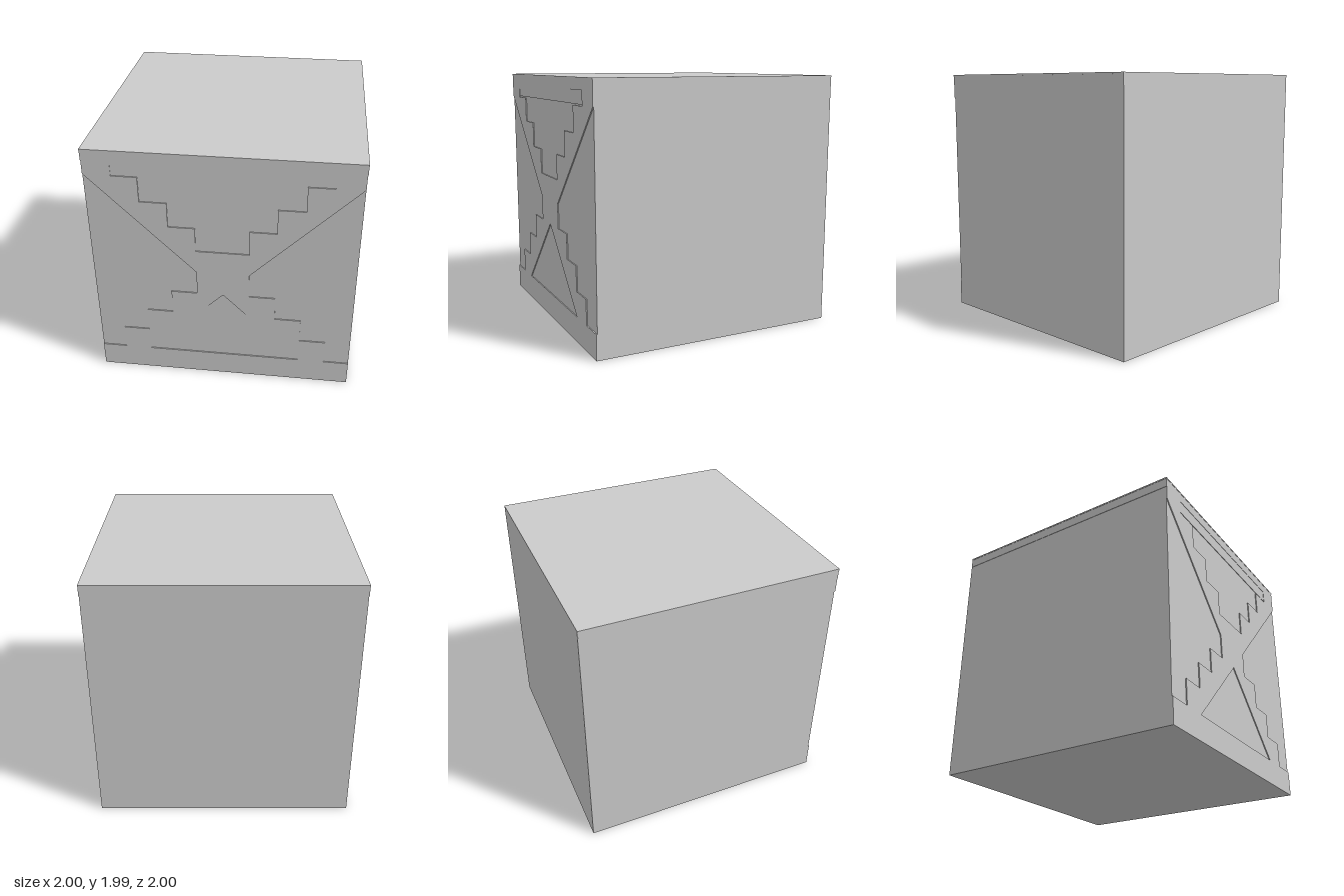
import * as THREE from 'three';

const light = new THREE.MeshStandardMaterial({ color: 0xcccccc });
const dark = new THREE.MeshStandardMaterial({ color: 0xbdbdbd });

export function createModel() {
  const model = new THREE.Group();

  const add = (name, geometry, material, x = 0, y = 0, z = 0) => {
    const mesh = new THREE.Mesh(geometry, material);
    mesh.name = name;
    mesh.position.set(x, y, z);
    model.add(mesh);
  };
  const points = (list) => list.map(([x, y]) => new THREE.Vector2(x, y));
  // Closed outline from its right half, listed bottom to top
  const mirrored = (half) =>
    points([...half, ...half.map(([x, y]) => [-x, y]).reverse()]);

  // Main block
  add('body', new THREE.BoxGeometry(1.99, 1.98, 1.99), light, 0, 0.99, -0.005);

  // Raised cross: stepped lower arms, straight undersides on the upper arms
  const lower = [[0.995, 0], [0.995, 0.2]];
  for (let i = 0; i < 4; i++) {
    const x = 0.8 - i * 0.2, y = 0.2 + i * 0.2;
    lower.push([x, y]);
    if (i < 3) lower.push([x, y + 0.2]);
  }
  lower.push([0.2, 0.8], [0.2, 1], [0.995, 1.795], [0.995, 1.985]);
  const cross = new THREE.Shape(mirrored(lower));

  // Stepped opening above the crossing
  const steps = [];
  for (let i = 0; i < 3; i++) {
    const x = 0.2 + i * 0.2, y = 1.19 + i * 0.2;
    steps.push([x, y], [x, y + 0.2]);
  }
  steps.push([0.79, 1.79], [0.79, 1.9]);
  cross.holes.push(new THREE.Path(mirrored(steps)));
  // Triangular opening below the crossing
  cross.holes.push(new THREE.Path(points([[-0.6, 0.2], [0, 0.8], [0.6, 0.2]])));
  add('frontCross', new THREE.ExtrudeGeometry(cross, { depth: 0.01, bevelEnabled: false }),
    dark, 0, 0, 0.988);

  // Beam set slightly back behind the top of the stepped opening
  add('topBeam', new THREE.BoxGeometry(1.6, 0.11, 0.01), dark, 0, 1.855, 0.99);

  // Trim along the top of both sides
  for (const side of [-1, 1]) {
    add(side > 0 ? 'leftTrim' : 'rightTrim',
      new THREE.BoxGeometry(0.01, 0.08, 1.996), dark, side * 0.993, 1.945, 0);
  }

  // Thin lid
  add('lid', new THREE.BoxGeometry(2, 0.012, 2), light, 0, 1.984, 0);

  return model;
}
